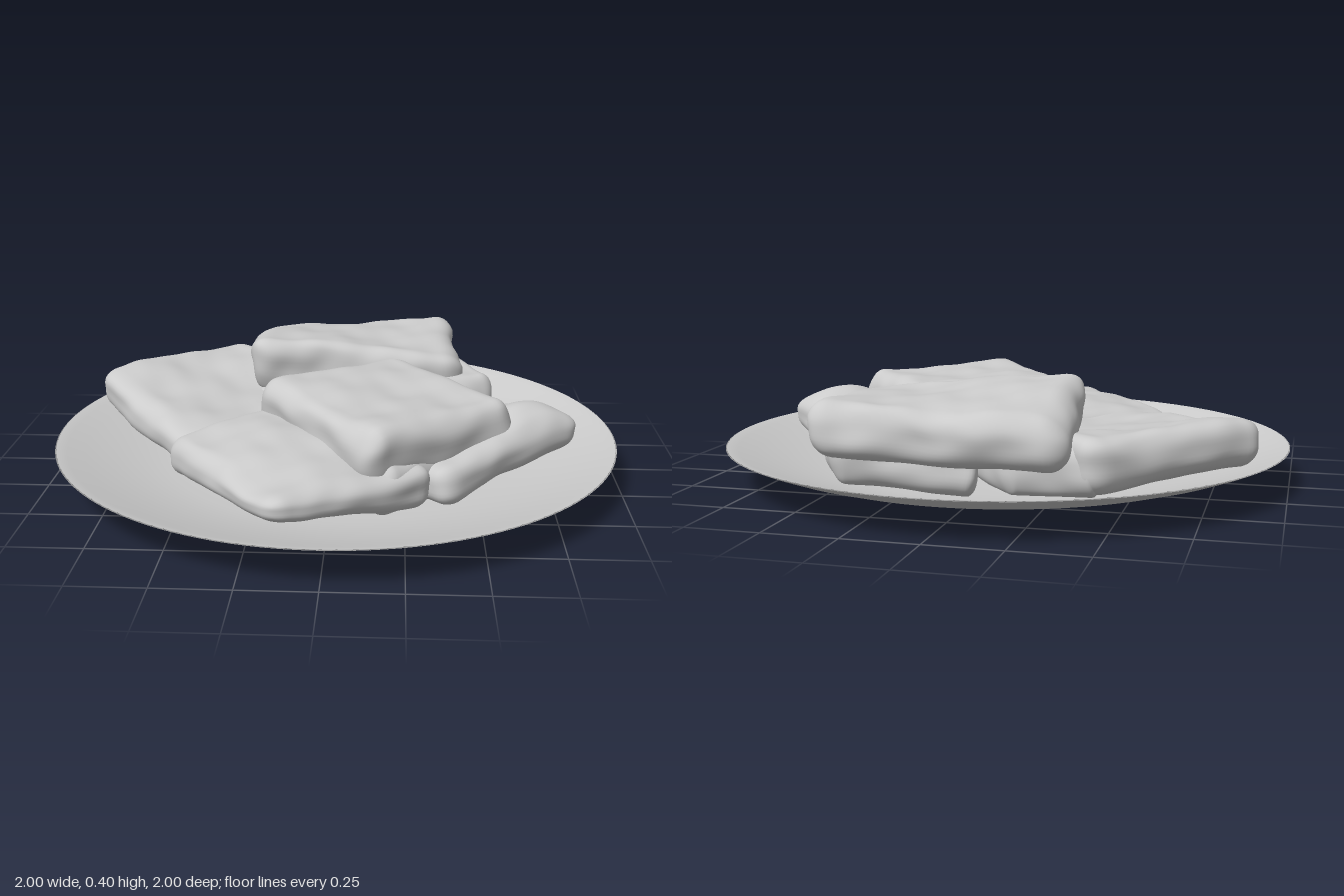
import * as THREE from 'three';
import { mergeVertices } from 'three/addons/utils/BufferGeometryUtils.js';

const material = new THREE.MeshStandardMaterial({ color: 0xcccccc, side: THREE.DoubleSide });

// Smooth, repeatable lumpiness
const lump = (x, z, s) =>
  Math.sin(7 * x + 2 * z + s) * Math.sin(8 * z - 3 * x + 2.1 * s) * 0.7 +
  Math.sin(16 * x - 7 * z + 1.7 * s) * Math.sin(15 * z + 6 * x + s) * 0.45 +
  Math.sin(33 * x + 9 * z + s) * Math.sin(29 * z - 12 * x + 3 * s) * 0.16;

// Soft slab stretched over four corners [x, z, top, bottom], clockwise from above.
// crown swells (or hollows) the top; hump = [u, v, height] raises one spot of it.
function slab(name, corners, { seed = 0, crown = 0, hump = [0, 0, 0] } = {}) {
  const W = 0.7, T = 0.17, D = 0.6, round = 0.065, wobble = 0.016;
  let geo = new THREE.BoxGeometry(W, T, D, 44, 12, 40);
  geo.deleteAttribute('normal');
  geo.deleteAttribute('uv');
  geo = mergeVertices(geo, 1e-5);
  const pos = geo.attributes.position;
  const p = new THREE.Vector3(), core = new THREE.Vector3();
  const lim = new THREE.Vector3(W / 2 - round, T / 2 - round, D / 2 - round);
  const neg = lim.clone().negate();
  for (let i = 0; i < pos.count; i++) {
    p.fromBufferAttribute(pos, i);
    core.copy(p).clamp(neg, lim);
    p.sub(core).setLength(round).add(core);
    const u = p.x / W + 0.5, v = p.z / D + 0.5, h = p.y / T + 0.5;
    const weights = [(1 - u) * (1 - v), u * (1 - v), u * v, (1 - u) * v];
    const mix = (k) => corners.reduce((sum, c, j) => sum + c[k] * weights[j], 0);
    const x = mix(0), z = mix(1);
    const bulge = crown * 16 * u * (1 - u) * v * (1 - v) +
      hump[2] * Math.exp(-((u - hump[0]) ** 2 + (v - hump[1]) ** 2) / 0.06);
    const y = mix(3) + (mix(2) + bulge - mix(3)) * h;
    pos.setXYZ(i,
      x + wobble * lump(z, y * 1.5, seed + 1),
      y + wobble * 0.8 * lump(x, z, seed) * (0.4 + 0.6 * h),
      z + wobble * lump(x, y * 1.5, seed + 4));
  }
  geo.computeVertexNormals();
  const mesh = new THREE.Mesh(geo, material);
  mesh.name = name;
  return mesh;
}

// Shallow round plate: underside from the foot out to the rim, then back inside
function plate() {
  const profile = [
    [0, 0.006], [0.31, 0.006], [0.335, 0], [0.36, 0.003], [0.5, 0.01], [0.6, 0.02], [0.7, 0.036],
    [0.8, 0.06], [0.9, 0.091], [0.97, 0.118], [1, 0.132], [0.995, 0.134],
    [0.96, 0.124], [0.9, 0.104], [0.8, 0.074], [0.7, 0.051], [0.6, 0.035], [0.45, 0.025], [0, 0.02],
  ].map(([r, y]) => new THREE.Vector2(r, y));
  const mesh = new THREE.Mesh(new THREE.LatheGeometry(profile, 128), material);
  mesh.name = 'plate';
  return mesh;
}

export function createModel() {
  const group = new THREE.Group();
  group.name = 'plateOfSlices';
  group.add(plate());

  // Lower layer lying on the plate
  group.add(slab('leftSlice', [
    [-0.43, -0.73, 0.28, 0.09], [0.1, -0.24, 0.22, 0.04],
    [-0.47, 0.34, 0.19, 0.05], [-0.94, -0.26, 0.29, 0.13],
  ], { seed: 1, crown: -0.02 }));
  group.add(slab('leftBackFiller', [
    [-0.45, -0.69, 0.25, 0.08], [-0.16, -0.62, 0.27, 0.06],
    [0.2, -0.12, 0.25, 0.04], [-0.45, -0.2, 0.18, 0.05],
  ], { seed: 6 }));
  group.add(slab('frontSlice', [
    [-0.2, -0.04, 0.25, 0.04], [0.36, 0.5, 0.2, 0.04],
    [-0.16, 0.86, 0.21, 0.13], [-0.58, 0.26, 0.2, 0.06],
  ], { seed: 2, crown: 0.015 }));
  group.add(slab('rightSlice', [
    [0.47, -0.34, 0.18, 0.05], [0.87, 0.06, 0.22, 0.12],
    [0.37, 0.55, 0.19, 0.05], [-0.05, 0.1, 0.2, 0.04],
  ], { seed: 3, hump: [0.78, 0.25, 0.08] }));
  group.add(slab('backSlice', [
    [-0.1, -0.7, 0.26, 0.06], [0.4, -0.68, 0.28, 0.08],
    [0.6, -0.29, 0.27, 0.06], [0.14, -0.06, 0.24, 0.04],
  ], { seed: 4 }));
  group.add(slab('middleFiller', [
    [0.2, -0.28, 0.26, 0.04], [0.57, 0.2, 0.25, 0.04],
    [0.18, 0.62, 0.24, 0.04], [-0.2, 0.08, 0.25, 0.04],
  ], { seed: 8 }));

  // Upper layer resting on the others
  group.add(slab('middleTopSlice', [
    [0.2, -0.34, 0.335, 0.16], [0.63, 0.2, 0.335, 0.13],
    [0.15, 0.64, 0.335, 0.13], [-0.29, 0.04, 0.335, 0.15],
  ], { seed: 5 }));
  group.add(slab('backTopSlice', [
    [-0.37, -0.73, 0.32, 0.15], [0.43, -0.83, 0.36, 0.19],
    [0.47, -0.26, 0.34, 0.16], [-0.33, -0.21, 0.43, 0.2],
  ], { seed: 7 }));
  return group;
}
